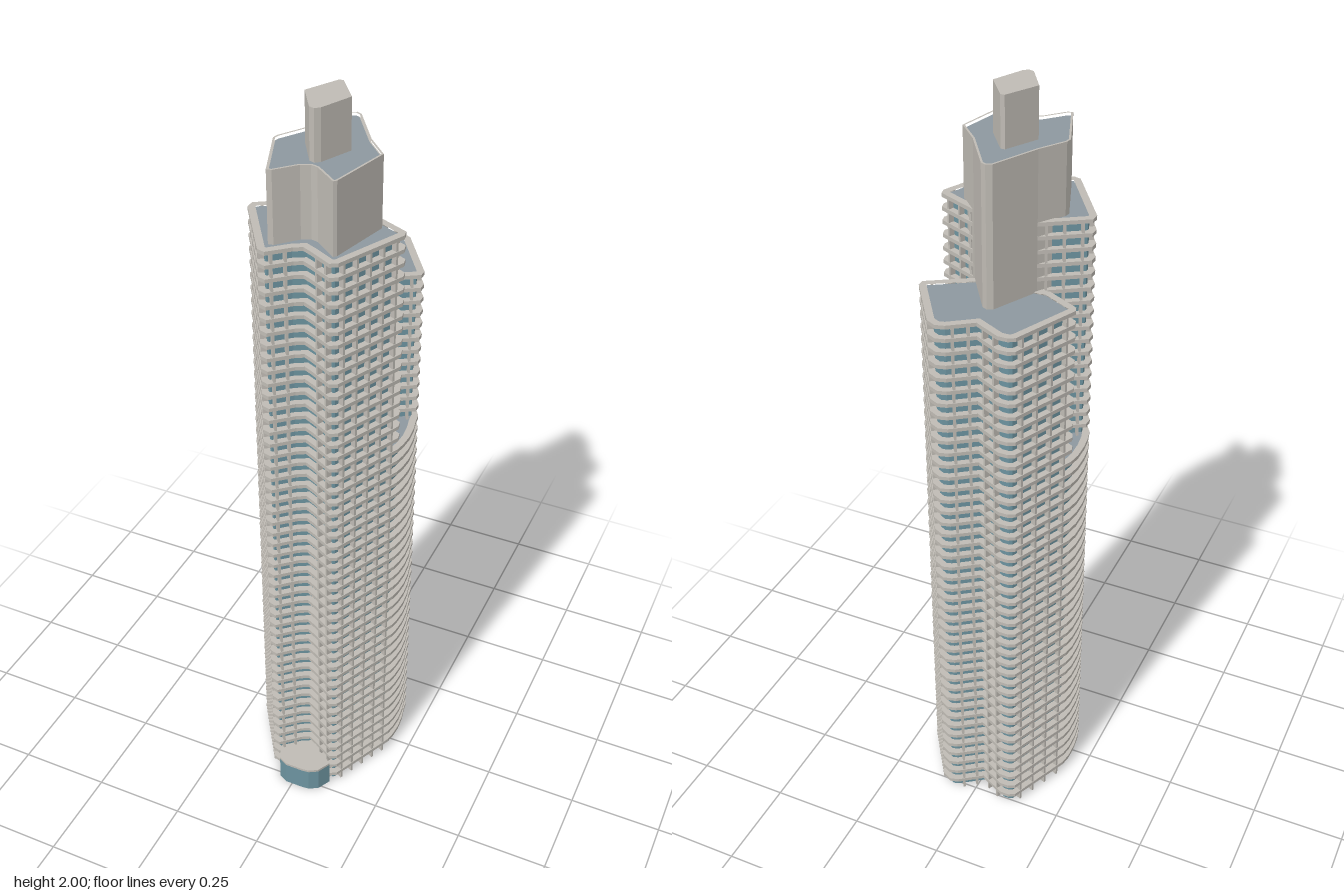
import * as THREE from 'three';
import { mergeGeometries } from 'three/addons/utils/BufferGeometryUtils.js';

// Outlines are lists of [x, z], running clockwise seen from above.
const FLOOR = 1.7 / 48, SLAB = 0.01, INSET = 0.017;
const MID = 31 * FLOOR, BACK = 43 * FLOOR, FRONT = 48 * FLOOR;

const backArc = [[-0.2, -0.085], [-0.125, -0.255], [-0.108, -0.264], [-0.083, -0.264], [-0.015, -0.229],
  [0.045, -0.272], [0.068, -0.278], [0.094, -0.265], [0.189, -0.122]];
const rightArc = [[0.193, -0.095], [0.2, -0.065], [0.204, -0.025], [0.202, 0.01]];
const frontArc = [[0.197, 0.035], [0.113, 0.213], [0.095, 0.223], [0.035, 0.19], [0.012, 0.179], [-0.008, 0.19],
  [-0.058, 0.235], [-0.078, 0.229], [-0.19, 0.057]];
const leftArc = [[-0.198, 0.03], [-0.204, -0.01], [-0.205, -0.055]];
const backInner = [[0.189, -0.103], [0.08, -0.035], [-0.11, -0.025], [-0.195, -0.07]];
const frontInner = [[-0.189, 0.035], [-0.08, -0.035], [0.08, -0.035], [0.193, 0.017]];
const crownLine = [[-0.125, 0.045], [-0.122, 0.03], [-0.08, -0.035], [-0.022, -0.153], [-0.008, -0.16],
  [0.006, -0.153], [0.08, -0.04], [0.135, 0.02], [0.095, 0.18], [0.088, 0.187], [0.03, 0.14], [0.012, 0.135],
  [-0.01, 0.145], [-0.055, 0.193], [-0.068, 0.195]];
const spireLine = [[-0.052, 0.03], [-0.006, -0.053], [0.005, -0.053], [0.057, 0.02], [0.02, 0.1], [0.008, 0.11],
  [-0.006, 0.105]];
const porchLine = [[-0.06, 0.225], [0.0, 0.18], [0.03, 0.18], [0.095, 0.223], [0.076, 0.259], [0.052, 0.273],
  [0.035, 0.275], [-0.018, 0.275], [-0.043, 0.262]];

// Inward normal of an edge
function inward(a, b) {
  const dx = b[0] - a[0], dz = b[1] - a[1], l = Math.hypot(dx, dz);
  return [-dz / l, dx / l];
}

// Mitred inset of a closed outline
function inset(line, d) {
  const n = line.length;
  return line.map((p, i) => {
    const u = inward(line[(i + n - 1) % n], p), v = inward(p, line[(i + 1) % n]);
    const k = d / (1 + u[0] * v[0] + u[1] * v[1]);
    return [p[0] + (u[0] + v[0]) * k, p[1] + (u[1] + v[1]) * k];
  });
}

const toVectors = line => line.map(([x, z]) => new THREE.Vector2(x, -z));

// Solid prism, or a ring when a hole outline is given
function prism(line, y0, y1, hole) {
  const shape = new THREE.Shape(toVectors(line));
  if (hole) shape.holes.push(new THREE.Path(toVectors(hole)));
  return new THREE.ExtrudeGeometry(shape, { depth: y1 - y0, bevelEnabled: false })
    .rotateX(-Math.PI / 2).translate(0, y0, 0);
}

function flat(line, y) {
  return new THREE.ShapeGeometry(new THREE.Shape(toVectors(line))).rotateX(-Math.PI / 2).translate(0, y, 0);
}

// Open-ended vertical skin around a closed outline
function skin(line, y0, y1) {
  const pos = [];
  line.forEach((a, i) => {
    const b = line[(i + 1) % line.length];
    for (const [p, y] of [[a, y0], [a, y1], [b, y0], [b, y0], [a, y1], [b, y1]]) pos.push(p[0], y, p[1]);
  });
  const g = new THREE.BufferGeometry();
  g.setAttribute('position', new THREE.Float32BufferAttribute(pos, 3));
  g.computeVertexNormals();
  return g;
}

// Ring slabs for floors first..last
function slabs(line, first, last) {
  const hole = inset(line, INSET + 0.001), list = [];
  for (let i = first; i <= last; i++) list.push(prism(line, i * FLOOR - SLAB, i * FLOOR, hole));
  return mergeGeometries(list);
}

// Upright fins spaced along an open path
function fins(path, y0, y1) {
  const list = [];
  for (let i = 0; i < path.length - 1; i++) {
    const a = path[i], b = path[i + 1], len = Math.hypot(b[0] - a[0], b[1] - a[1]);
    if (len < 0.03) continue;
    const n = inward(a, b), count = Math.max(1, Math.round(len / 0.042));
    for (let j = 0; j < count; j++) {
      const t = (j + 0.5) / count;
      list.push(new THREE.BoxGeometry(0.006, y1 - y0, 0.015)
        .rotateY(Math.atan2(n[0], n[1]))
        .translate(a[0] + (b[0] - a[0]) * t + n[0] * 0.0095, (y0 + y1) / 2, a[1] + (b[1] - a[1]) * t + n[1] * 0.0095));
    }
  }
  return mergeGeometries(list);
}

export function createModel() {
  const root = new THREE.Group();
  root.name = 'tower';
  const material = (name, color, side = THREE.FrontSide) => {
    const m = new THREE.MeshStandardMaterial({ color, side });
    m.name = name;
    return m;
  };
  const glass = material('blue glass', 0x6c939f, THREE.DoubleSide);
  const stone = material('pale stone', 0xbfbbb4);
  const roofing = material('grey roofing', 0x8d989f, THREE.DoubleSide);
  const add = (name, geometry, mat, parent = root) => {
    const m = new THREE.Mesh(geometry, mat);
    m.name = name;
    parent.add(m);
  };

  // One storey block: glass skin, floor slabs and roof
  function block(name, line, first, last) {
    const g = new THREE.Group();
    g.name = name;
    root.add(g);
    const inner = inset(line, INSET);
    add('glassSkin', skin(inner, (first - 1) * FLOOR, last * FLOOR - 0.003), glass, g);
    add('floorSlabs', slabs(line, first, last), stone, g);
    add('roof', flat(inner, last * FLOOR - 0.003), roofing, g);
    return g;
  }

  // Lower tower, with the taller back and front blocks above it
  block('lowerTower', [...backArc, ...rightArc, ...frontArc, ...leftArc], 1, 31);
  const back = block('backBlock', [...backArc, ...backInner], 32, 43);
  const front = block('frontBlock', [...frontArc, ...frontInner], 32, 48);

  // Fins run full height outside, and above the lower roof on the inner faces
  add('backFins', fins(backArc, 0, BACK - 0.001), stone, back);
  add('backInnerFins', fins(backInner, MID, BACK - 0.001), stone, back);
  add('frontFins', fins(frontArc, 0, FRONT - 0.001), stone, front);
  add('frontInnerFins', fins(frontInner, MID, FRONT - 0.001), stone, front);

  // Crown with a thin parapet, then the spire
  const crownInner = inset(crownLine, 0.005);
  add('crown', prism(crownLine, MID, 1.87), stone);
  add('crownParapet', prism(crownLine, 1.87, 1.88, crownInner), stone);
  add('crownRoof', flat(crownInner, 1.873), roofing);
  add('spire', prism(spireLine, 1.86, 2), stone);

  // Entrance porch
  add('porchGlass', skin(porchLine, 0, 0.07), glass);
  add('porchRoof', prism(porchLine, 0.07, 0.077), stone);
  return root;
}
